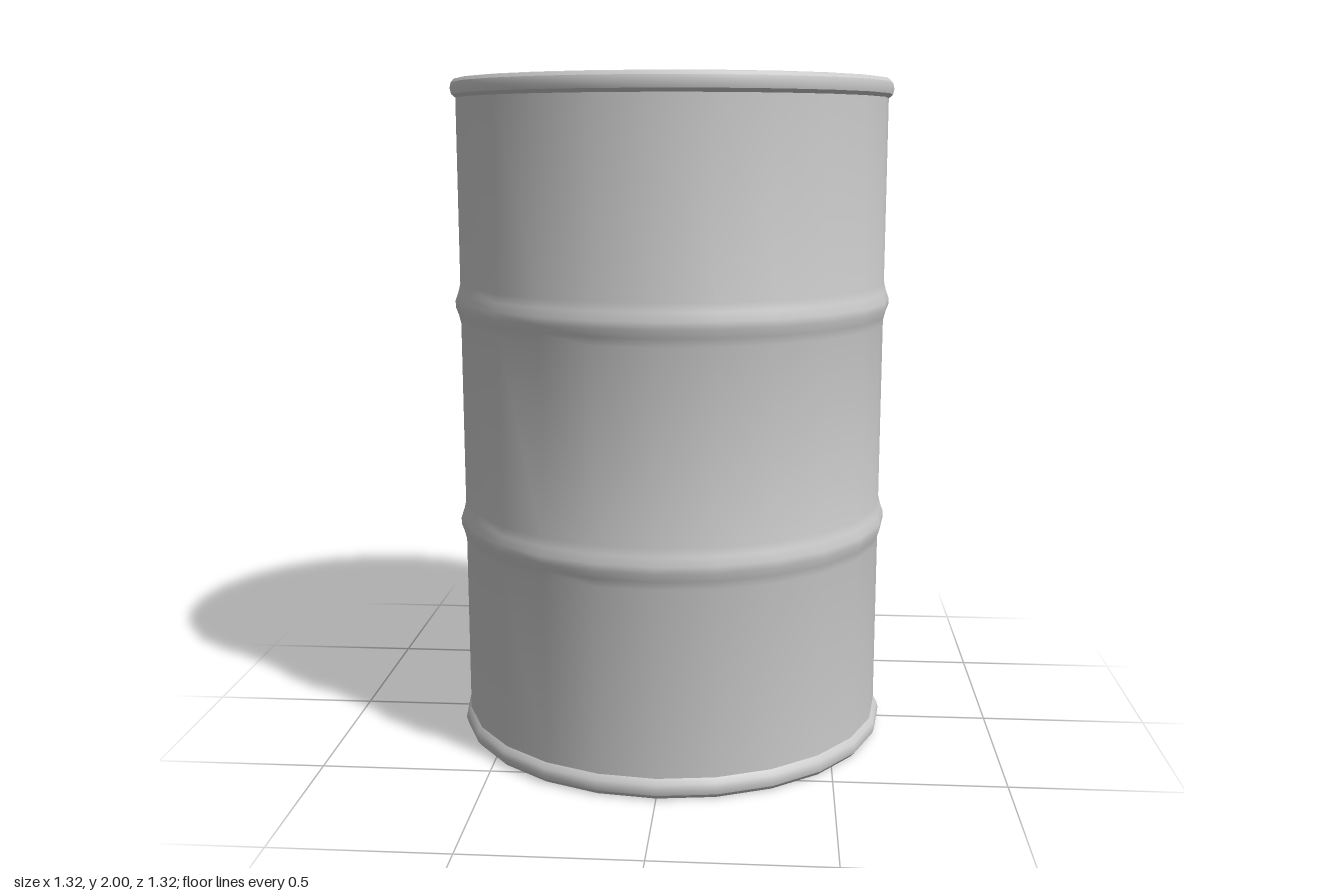
import * as THREE from 'three';
import { toCreasedNormals } from 'three/addons/utils/BufferGeometryUtils.js';

const grey = new THREE.MeshStandardMaterial({ color: 0xcccccc });
const SIDES = 24;

function part(name, geometry, x = 0, y = 0, z = 0) {
  const mesh = new THREE.Mesh(geometry, grey);
  mesh.name = name;
  mesh.position.set(x, y, z);
  return mesh;
}

// Revolved profile, listed so that its outside faces outward
function turned(name, profile, crease = 0.6) {
  const points = profile.map(([r, y]) => new THREE.Vector2(r, y));
  return part(name, toCreasedNormals(new THREE.LatheGeometry(points, SIDES), crease));
}

// Small rolled bead at the top or bottom edge
const bead = (y) => [[0.646, y - 0.028], [0.658, y - 0.018], [0.662, y], [0.658, y + 0.016]];
// Rolling hoop pressed out of the wall
const hoop = (y) => [[0.646, y - 0.06], [0.652, y - 0.035], [0.661, y - 0.01],
  [0.661, y + 0.01], [0.652, y + 0.035], [0.646, y + 0.06]];

// Threaded plug: round flange, faceted cap and optional grip bar
function plug(name, x, z, flangeRadius, capRadius, capSides, hasBar) {
  const group = new THREE.Group();
  group.name = name;
  group.position.set(x, 1.95, z);
  const disc = (r1, r2, h, n) =>
    toCreasedNormals(new THREE.CylinderGeometry(r1, r2, h, n), 0.5);
  group.add(part('plugFlange', disc(flangeRadius * 0.9, flangeRadius, 0.025, 14), 0, 0.012, 0));
  group.add(part('plugCap', disc(capRadius * 0.95, capRadius, 0.02, capSides), 0, 0.03, 0));
  if (hasBar) {
    const bar = part('plugGrip', new THREE.BoxGeometry(0.095, 0.016, 0.02), 0, 0.041, 0);
    bar.rotation.y = -Math.PI / 4;
    group.add(bar);
  }
  return group;
}

export function createModel() {
  const drum = new THREE.Group();
  drum.name = 'drum';

  // Base and wall with two hoops and a bead at each end
  drum.add(turned('base', [[0, 0.01], [0.62, 0.01], [0.635, 0], [0.648, 0.002], [0.658, 0.014]]));
  drum.add(turned('wall', [
    [0.658, 0.014], ...bead(0.03).slice(2), [0.646, 0.06],
    ...hoop(0.67), ...hoop(1.34), ...bead(1.972),
  ]));

  // Rolled top edge and shallow gutter
  drum.add(turned('topRim', [
    [0.658, 1.988], [0.65, 1.998], [0.636, 2], [0.624, 1.992], [0.61, 1.968],
    [0.58, 1.953], [0.55, 1.949], [0.515, 1.945],
  ]));

  // Recessed lid: raised ring around a slightly sunken centre
  drum.add(turned('lid', [
    [0.517, 1.945], [0.513, 1.957], [0.42, 1.954], [0.302, 1.952], [0.298, 1.96], [0, 1.96],
  ]));

  drum.add(plug('largePlug', -0.31, -0.32, 0.077, 0.06, 8, true));
  drum.add(plug('smallPlug', 0.315, 0.315, 0.048, 0.031, 6, false));
  return drum;
}
